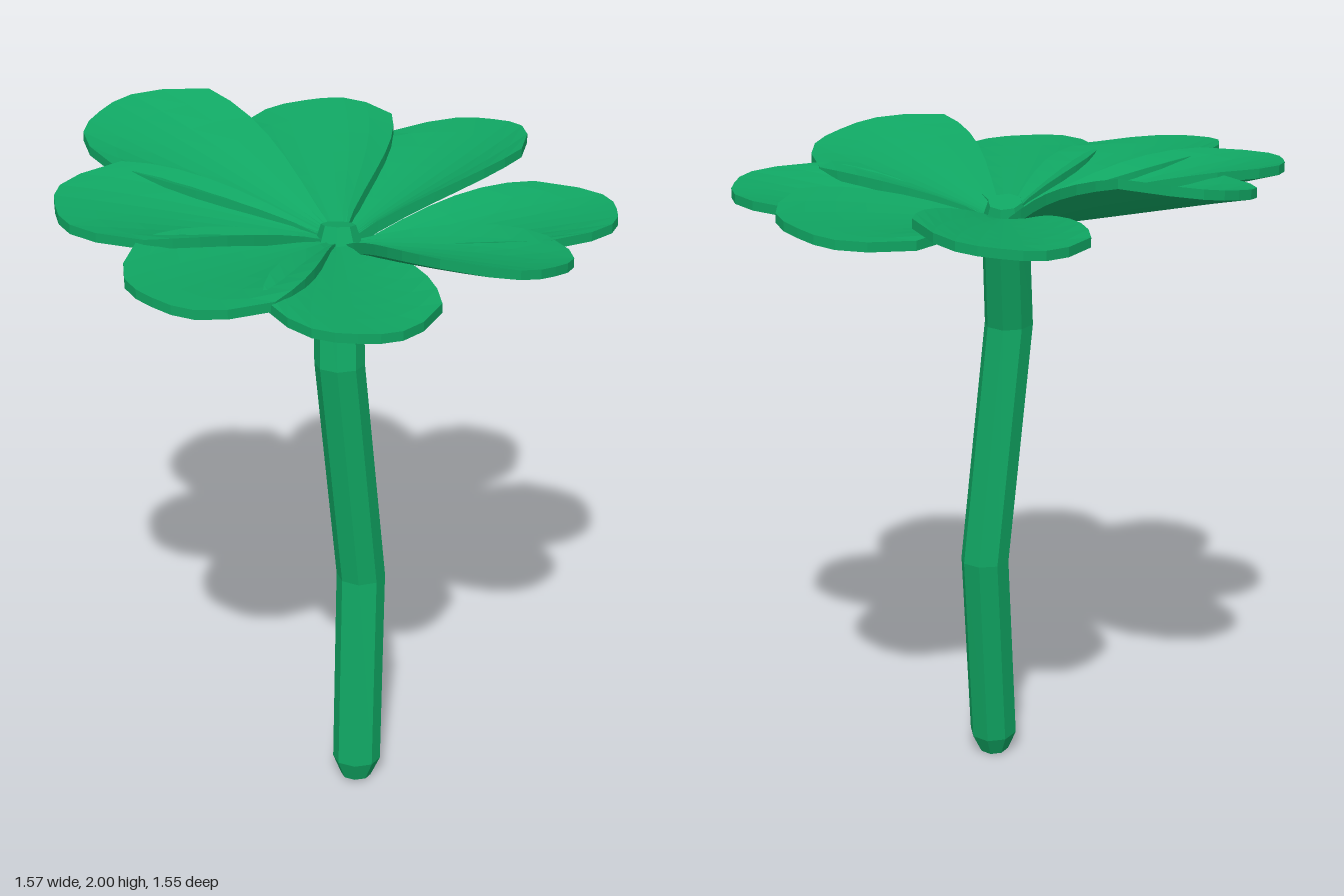
import * as THREE from 'three';

// Skin a list of equal, even-sized point rings, closing both ends
function loft(rings, material, name) {
  const n = rings[0].length, last = rings.length - 1;
  const pos = rings.flat(2), idx = [];
  const quad = (a, b, c, d) => idx.push(a, b, d, b, c, d);
  for (let i = 0; i < last; i++) {
    for (let k = 0; k < n; k++) {
      const m = (k + 1) % n;
      quad(i * n + k, i * n + m, (i + 1) * n + m, (i + 1) * n + k);
    }
  }
  const e = last * n;
  for (let k = 0; k < n / 2 - 1; k++) {
    quad(e + k, e + k + 1, e + n - 2 - k, e + n - 1 - k);
    quad(n - 1 - k, n - 2 - k, k + 1, k);
  }
  const g = new THREE.BufferGeometry();
  g.setAttribute('position', new THREE.Float32BufferAttribute(pos, 3));
  g.setIndex(idx);
  const flat = g.toNonIndexed();
  flat.computeVertexNormals();
  const mesh = new THREE.Mesh(flat, material);
  mesh.name = name;
  return mesh;
}

// Broad, cupped petal tilted so one edge overlaps its neighbour
function petal({ angle, length, base, tip, tilt }, material, name) {
  const a = THREE.MathUtils.degToRad(angle), c = Math.cos(a), s = Math.sin(a);
  const start = 0.03, halfWidth = 0.24, columns = 8, rows = 7, rings = [];
  for (let i = 0; i <= rows; i++) {
    const t = i / rows, top = [], bottom = [];
    const thickness = 0.036 - 0.008 * t;
    const w = halfWidth * (0.1 + 0.9 * Math.sin(t * Math.PI / 2) ** 1.2);
    for (let j = 0; j <= columns; j++) {
      const v = (j / columns) * 2 - 1;
      const along = start + (length - start) * t * (1 - 0.28 * Math.abs(v) ** 3);
      const across = v * w;
      const y = base + (tip - base) * t + tilt * v * t + 0.12 * v * v * t * (1 - t);
      const x = along * c - across * s, z = along * s + across * c;
      top.push([x, y, z]);
      bottom.unshift([x, y - thickness, z]);
    }
    rings.push([...top, ...bottom]);
  }
  return loft(rings, material, name);
}

export function createModel() {
  const model = new THREE.Group();
  model.name = 'flower';
  const green = new THREE.MeshStandardMaterial({ color: 0x10a562 });
  green.name = 'leafGreen';

  // Crooked eight-sided stem with bevelled ends: x, y, z, radius
  const path = [
    [0.065, 0.01, 0.125, 0.045], [0.066, 0.07, 0.12, 0.072],
    [0.07, 0.67, 0.035, 0.073], [0.012, 1.4, 0.1, 0.073],
    [0.002, 1.73, 0.018, 0.071], [0, 1.79, 0.004, 0.05],
  ];
  const lean = [-0.14, -0.12, 0, -0.06, -0.24, -0.24];
  const rings = path.map(([x, y, z, r], i) => Array.from({ length: 8 }, (_, k) => {
    const f = (k / 8) * Math.PI * 2, dz = -Math.sin(f) * r;
    return [x + Math.cos(f) * r, Math.max(0, y - dz * lean[i]), z + dz];
  }));
  model.add(loft(rings, green, 'stem'));

  // Eight petals around the stem top
  const petals = new THREE.Group();
  petals.name = 'petals';
  [
    { angle: -7, length: 0.79, base: 1.70, tip: 1.825, tilt: 0.01 },
    { angle: 35, length: 0.76, base: 1.74, tip: 1.875, tilt: 0.045 },
    { angle: 81, length: 0.775, base: 1.75, tip: 1.81, tilt: 0.015 },
    { angle: 122, length: 0.81, base: 1.75, tip: 1.855, tilt: 0.025 },
    { angle: 164, length: 0.80, base: 1.75, tip: 1.91, tilt: 0.02 },
    { angle: 207, length: 0.83, base: 1.75, tip: 1.96, tilt: 0.04 },
    { angle: 257, length: 0.79, base: 1.75, tip: 1.865, tilt: 0.025 },
    { angle: 301, length: 0.79, base: 1.74, tip: 1.86, tilt: 0.03 },
  ].forEach((p, i) => petals.add(petal(p, green, `petal${i + 1}`)));
  model.add(petals);
  return model;
}
